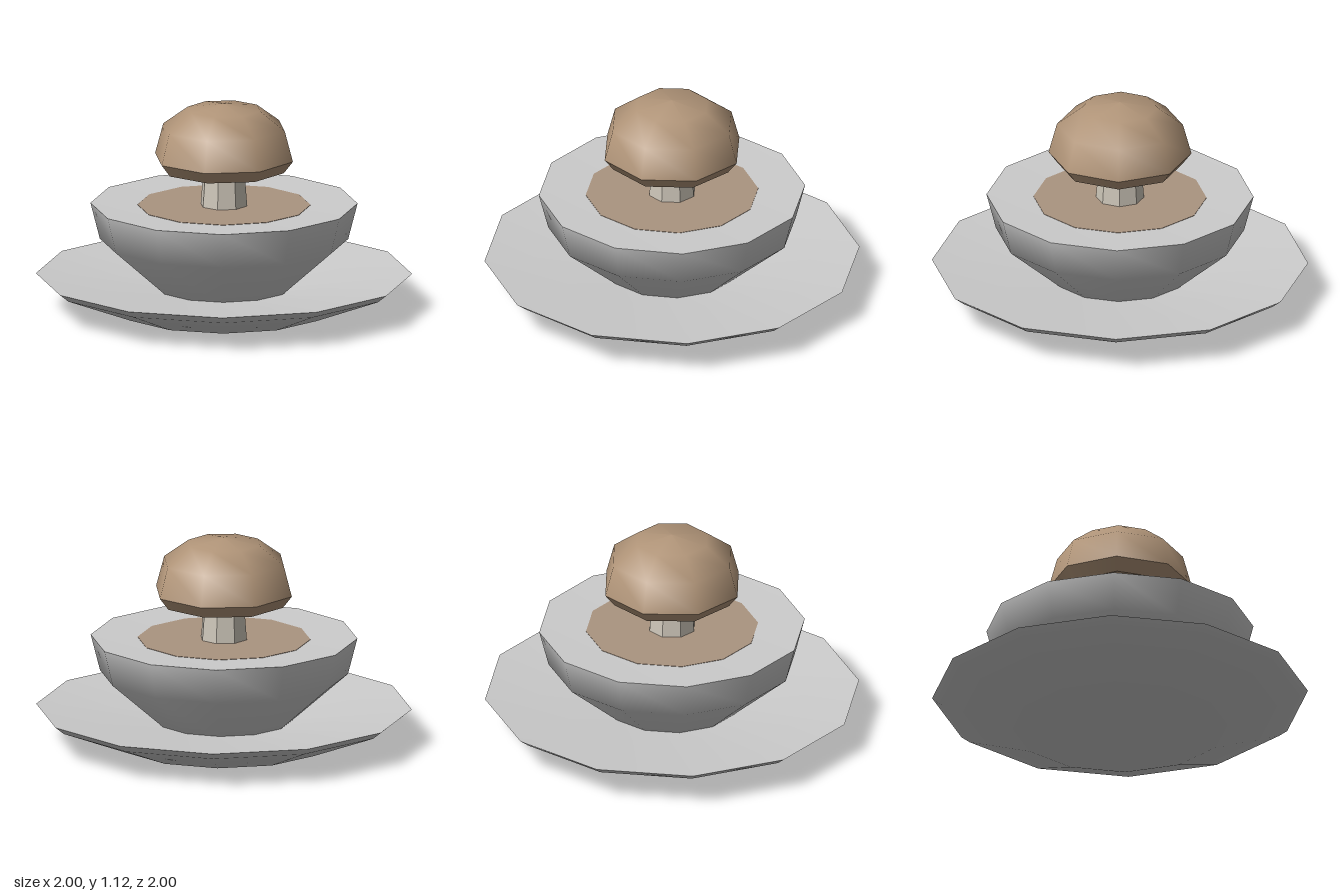
import * as THREE from 'three';
import { toCreasedNormals } from 'three/addons/utils/BufferGeometryUtils.js';

// Turned part: profile of [radius, height] from bottom centre, round the outside, to top centre
function turned(name, color, sides, profile, flat = false) {
  const points = [];
  profile.forEach(([r, y, sharp]) => {
    points.push(new THREE.Vector2(r, y));
    if (sharp) points.push(new THREE.Vector2(r, y)); // doubled point keeps this ring crisp
  });
  let geometry = new THREE.LatheGeometry(points, sides);
  if (flat) geometry = toCreasedNormals(geometry, 0.3);
  const mesh = new THREE.Mesh(geometry, new THREE.MeshStandardMaterial({ color }));
  mesh.name = name;
  return mesh;
}

export function createModel() {
  const group = new THREE.Group();
  group.name = 'mushroomBowl';

  // Shallow dished saucer
  group.add(turned('saucer', 0xcccccc, 12, [
    [0, 0], [0.57, 0], [0.95, 0.15], [1, 0.19, true], [0.36, 0.12], [0, 0.1],
  ]));

  // Bowl with a wide, slightly sunken rim
  group.add(turned('bowl', 0xcccccc, 12, [
    [0, 0.09], [0.34, 0.1, true], [0.66, 0.38], [0.71, 0.575, true], [0.46, 0.565], [0, 0.555],
  ]));

  // Filling inside the rim
  const filling = new THREE.Mesh(
    new THREE.CylinderGeometry(0.46, 0.46, 0.02, 12),
    new THREE.MeshStandardMaterial({ color: 0xaa9480 }),
  );
  filling.name = 'filling';
  filling.position.y = 0.557;
  group.add(filling);

  // Faceted mushroom stem
  group.add(turned('stem', 0xccc5b8, 8, [
    [0, 0.54], [0.13, 0.54], [0.11, 0.8], [0, 0.8],
  ], true));

  // Mushroom cap with a tucked-in lower edge
  group.add(turned('cap', 0xb09478, 8, [
    [0, 0.76], [0.33, 0.76, true], [0.38, 0.825, true], [0.335, 0.99], [0.2, 1.09], [0, 1.12],
  ]));

  return group;
}
